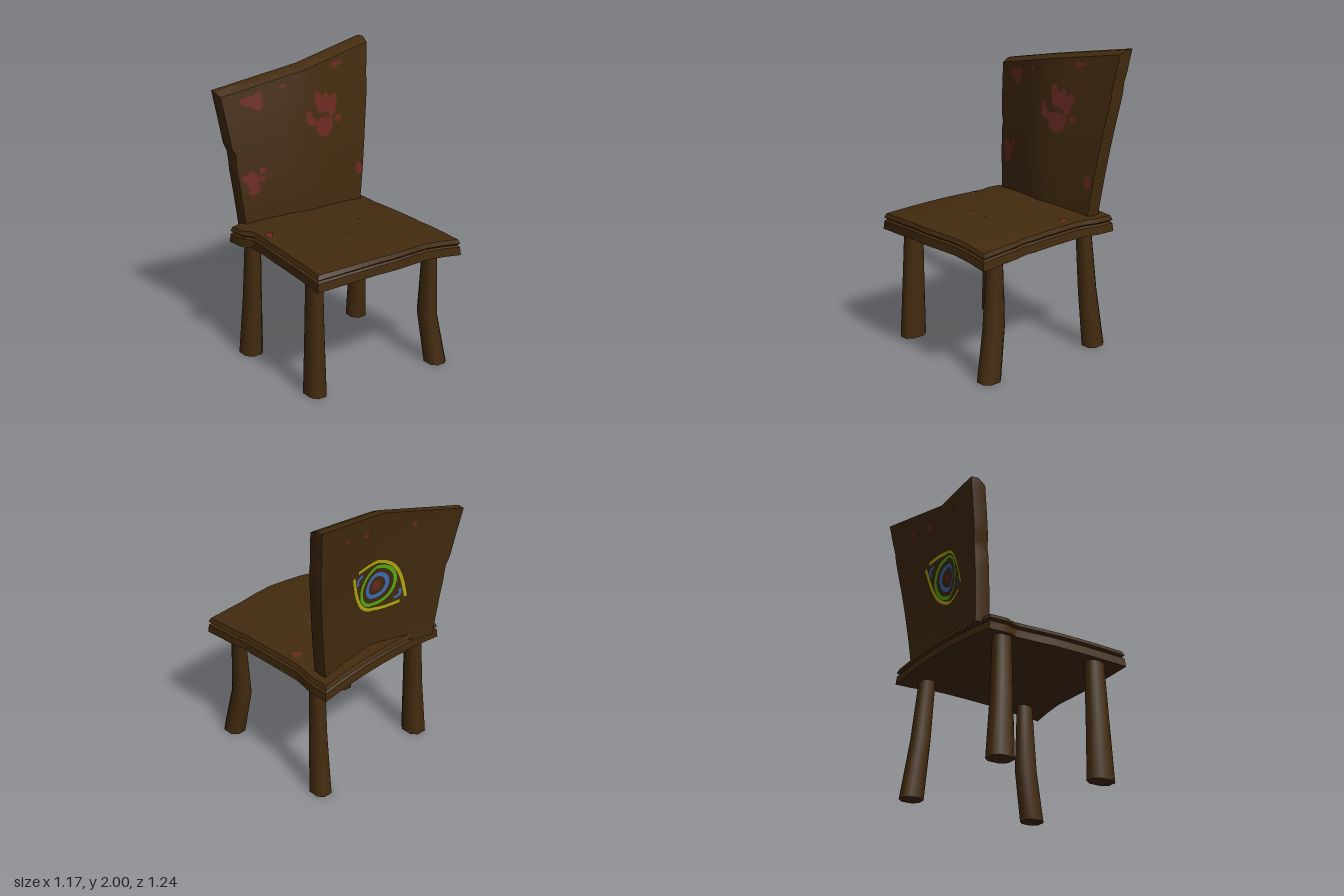
import * as THREE from 'three';
import { toCreasedNormals } from 'three/addons/utils/BufferGeometryUtils.js';

const paint = (name, color, side = THREE.DoubleSide) => {
  const m = new THREE.MeshStandardMaterial({ color, side });
  m.name = name;
  return m;
};

// Linear interpolation in a short table of [key, value] pairs
function at(table, t) {
  if (t <= table[0][0]) return table[0][1];
  for (let i = 1; i < table.length; i++) {
    const [a, va] = table[i - 1], [b, vb] = table[i];
    if (t <= b) return va + ((vb - va) * (t - a)) / (b - a);
  }
  return table[table.length - 1][1];
}

// Move every vertex of a geometry by a rule (x, y, z) => [x, y, z]
function reshape(geo, rule) {
  const p = geo.attributes.position;
  for (let i = 0; i < p.count; i++) p.setXYZ(i, ...rule(p.getX(i), p.getY(i), p.getZ(i)));
  geo.computeVertexNormals();
  return geo;
}

// Seat outline and arched top
const seatLeft = [[-0.5, -0.565], [-0.31, -0.56], [-0.28, -0.525], [-0.15, -0.53], [0.04, -0.548], [0.55, -0.575]];
const seatRight = [[-0.5, 0.5], [-0.39, 0.505], [-0.25, 0.485], [0.2, 0.498], [0.25, 0.49], [0.31, 0.505], [0.61, 0.514]];
const seatFront = [[-0.57, 0.548], [-0.36, 0.595], [0, 0.627], [0.27, 0.6], [0.51, 0.614]];
const seatBack = [[-0.57, -0.47], [0, -0.5], [0.51, -0.525]];
const seatTop = (x, z) => 0.94 - 0.042 * (x / 0.55) ** 2 - 0.018 * (z / 0.58) ** 2;
// Edge profile, bottom to top: [depth below top, inset]
const seatEdge = [[-0.104, 0], [-0.05, 0.005], [-0.04, 0.018], [-0.026, 0.004], [0, 0.016]];

function seatGeometry() {
  const n = seatEdge.length - 1;
  const geo = reshape(new THREE.BoxGeometry(1, 1, 1, 8, n, 24), (u, v, w) => {
    const [drop, inset] = seatEdge[Math.round((v + 0.5) * n)];
    const xGuess = u * 1.08 - 0.03;
    const z = THREE.MathUtils.lerp(at(seatBack, xGuess) + inset, at(seatFront, xGuess) - inset, w + 0.5);
    const x = THREE.MathUtils.lerp(at(seatLeft, z) + inset, at(seatRight, z) - inset, u + 0.5);
    return [x, seatTop(x, z) + drop, z];
  });
  return toCreasedNormals(geo, 0.5);
}

// Backrest: folded along x = 0, flaring and leaning back towards the top
const THICK = 0.1;
const panelFront = (x, y) =>
  -0.3 - 0.1 * (Math.max(0, y - 0.86) / 1.06) ** 1.6 - (x < 0 ? -0.24 : 0.115) * x;
const panelLeft = [[0.86, -0.475], [1.3, -0.52], [1.36, -0.512], [1.42, -0.54], [1.78, -0.585]];
const panelRight = [[0.86, 0.435], [1.4, 0.508], [1.7, 0.553], [1.78, 0.552], [1.84, 0.565], [2, 0.582]];
const panelTop = [[-0.58, 1.785], [0, 1.905], [0.58, 2]];

function panelGeometry() {
  const geo = reshape(new THREE.BoxGeometry(1, 1, 1, 6, 16, 2), (u, v, w) => {
    const layer = Math.round((w + 0.5) * 2);
    const inset = [0.008, 0, 0.01][layer];
    const top = at(panelTop, u * 1.16) - [0, 0, 0.028][layer];
    const y = THREE.MathUtils.lerp(0.86, top, v + 0.5);
    const edge = u < 0 ? at(panelLeft, y) + inset : at(panelRight, y) - inset;
    const x = Math.abs(u) * 2 * edge;
    return [x, y, panelFront(x, y) + (w - 0.5) * THICK];
  });
  return toCreasedNormals(geo, 0.5);
}

// Leg: rounded square sections, each row [y, xMin, xMax, zMin, zMax] from top to bottom
function legGeometry(rows) {
  const n = rows.length - 1;
  const clamp = (t) => THREE.MathUtils.clamp(t * 1.3, -1, 1);
  const geo = reshape(new THREE.CylinderGeometry(1, 1, 1, 8, n, false, Math.PI / 8), (a, h, b) => {
    const [y, x0, x1, z0, z1] = rows[Math.round((0.5 - h) * n)];
    return [(x0 + x1) / 2 + clamp(a) * (x1 - x0) / 2, y, (z0 + z1) / 2 + clamp(b) * (z1 - z0) / 2];
  });
  return toCreasedNormals(geo, 1);
}

const LEGS = {
  frontLeftLeg: [[0.85, 0.37, 0.44, 0.38, 0.48], [0.34, 0.34, 0.45, 0.36, 0.5], [0, 0.355, 0.485, 0.42, 0.565]],
  frontRightLeg: [[0.85, -0.52, -0.43, 0.31, 0.43], [0.4, -0.535, -0.43, 0.305, 0.45], [0, -0.55, -0.425, 0.3, 0.47]],
  backLeftLeg: [[0.85, 0.36, 0.445, -0.39, -0.29], [0.4, 0.37, 0.475, -0.43, -0.31], [0, 0.38, 0.505, -0.485, -0.34]],
  backRightLeg: [[0.85, -0.52, -0.43, -0.38, -0.27], [0.4, -0.54, -0.43, -0.4, -0.27], [0, -0.565, -0.425, -0.43, -0.27]],
};

// Surfaces on which painted details are laid: (a, b) => [x, y, z]
const LIFT = 0.004;
const onFront = (x, y) => [x, y, panelFront(x, y) + LIFT];
const onBack = (x, y) => [x, y, panelFront(x, y) - THICK - LIFT];
const onSeat = (x, z) => [x, seatTop(x, z) + LIFT, z];

// Oval paint spot
const spot = (surface, [a, b, ra, rb, turn = 0]) =>
  reshape(new THREE.CircleGeometry(1, 10), (x, y) => {
    const c = Math.cos(turn), s = Math.sin(turn);
    return surface(a + c * x * ra - s * y * rb, b + s * x * ra + c * y * rb);
  });

// Painted stroke of a given width along curve(t) => [a, b], t from 0 to 1
const stroke = (surface, curve, width, n = 32) =>
  reshape(new THREE.PlaneGeometry(1, 1, n, 1), (t, side) => {
    const [a, b] = curve(t + 0.5), [a0, b0] = curve(t + 0.499), [a1, b1] = curve(t + 0.501);
    const len = Math.hypot(a1 - a0, b1 - b0);
    return surface(a - ((b1 - b0) / len) * side * width, b + ((a1 - a0) / len) * side * width);
  });

const FRONT_SPOTS = [
  // large paw print
  [0.13, 1.47, 0.072, 0.055], [0.13, 1.505, 0.08, 0.042], [0.005, 1.575, 0.022, 0.035, 0.2], [0.025, 1.53, 0.04, 0.03, -0.5],
  [0.1, 1.65, 0.035, 0.08, 0.25], [0.162, 1.635, 0.034, 0.068], [0.215, 1.61, 0.034, 0.08, -0.3], [0.255, 1.515, 0.028, 0.026],
  // partial prints
  [-0.385, 1.715, 0.07, 0.035], [-0.34, 1.69, 0.042, 0.04], [-0.33, 1.74, 0.032, 0.028], [-0.16, 1.79, 0.02, 0.015],
  [0.26, 1.87, 0.028, 0.022], [0.305, 1.88, 0.02, 0.016],
  [-0.41, 1.19, 0.045, 0.068], [-0.45, 1.21, 0.032, 0.028], [-0.4, 1.12, 0.045, 0.026, 0.4], [-0.34, 1.25, 0.024, 0.022],
  [-0.345, 1.195, 0.024, 0.02], [0.418, 1.13, 0.027, 0.048],
];
const BACK_SPOTS = [[0.32, 1.835, 0.022, 0.02], [0.14, 1.8, 0.027, 0.022], [-0.23, 1.765, 0.018, 0.018]];
const SEAT_SPOTS = [
  [-0.475, -0.13, 0.022, 0.037], [-0.46, -0.15, 0.028, 0.022], [0.405, -0.165, 0.034, 0.018], [0.41, -0.145, 0.018, 0.025],
  [-0.08, 0.208, 0.012, 0.016], [0.12, 0.04, 0.01, 0.012], [0.075, 0.22, 0.008, 0.01], [-0.08, 0.03, 0.004, 0.004],
];

export function createModel() {
  const wood = paint('dark wood', 0x432b0f, THREE.FrontSide);
  const red = paint('faded red', 0x6b2a22);
  const yellow = paint('yellow', 0xb8ac0c);
  const green = paint('green', 0x58ae10);
  const blue = paint('blue', 0x3f6fbe);

  const model = new THREE.Group();
  model.name = 'chair';
  const add = (name, geo, material, parent = model) => {
    const mesh = new THREE.Mesh(geo, material);
    mesh.name = name;
    parent.add(mesh);
  };
  const group = (name) => {
    const g = new THREE.Group();
    g.name = name;
    model.add(g);
    return g;
  };

  add('seat', seatGeometry(), wood);
  add('backrest', panelGeometry(), wood);
  for (const [name, rows] of Object.entries(LEGS)) add(name, legGeometry(rows), wood);

  // Red prints and splashes
  const prints = group('pawPrints');
  for (const s of FRONT_SPOTS) add('frontPrint', spot(onFront, s), red, prints);
  for (const s of BACK_SPOTS) add('backSpot', spot(onBack, s), red, prints);
  for (const s of SEAT_SPOTS) add('seatSpot', spot(onSeat, s), red, prints);

  // Painted eye on the back, tilted up towards the left
  const eye = group('paintedEye');
  const tilt = 0.58;
  const onEye = (a, b) =>
    onBack(-0.005 + a * Math.cos(tilt) - b * Math.sin(tilt), 1.38 + a * Math.sin(tilt) + b * Math.cos(tilt));
  const circle = (r) => (t) => [r * Math.cos(t * 2 * Math.PI), r * Math.sin(t * 2 * Math.PI)];
  add('pupil', spot(onEye, [0, 0, 0.036, 0.036]), red, eye);
  add('innerRing', stroke(onEye, circle(0.08), 0.028), blue, eye);
  add('outerRing', stroke(onEye, circle(0.137), 0.024), green, eye);
  for (const s of [-1, 1]) {
    const lid = (t) => [s * (0.25 - 0.52 * t), s * 0.165 * Math.sin(Math.PI * (0.08 + 0.92 * t))];
    const corner = (t) => [s * (0.19 + 0.025 * Math.sin(Math.PI * t)), 0.035 - 0.07 * t];
    add('eyelid', stroke(onEye, lid, 0.022), yellow, eye);
    add('eyeCorner', stroke(onEye, corner, 0.02, 6), blue, eye);
  }
  return model;
}
